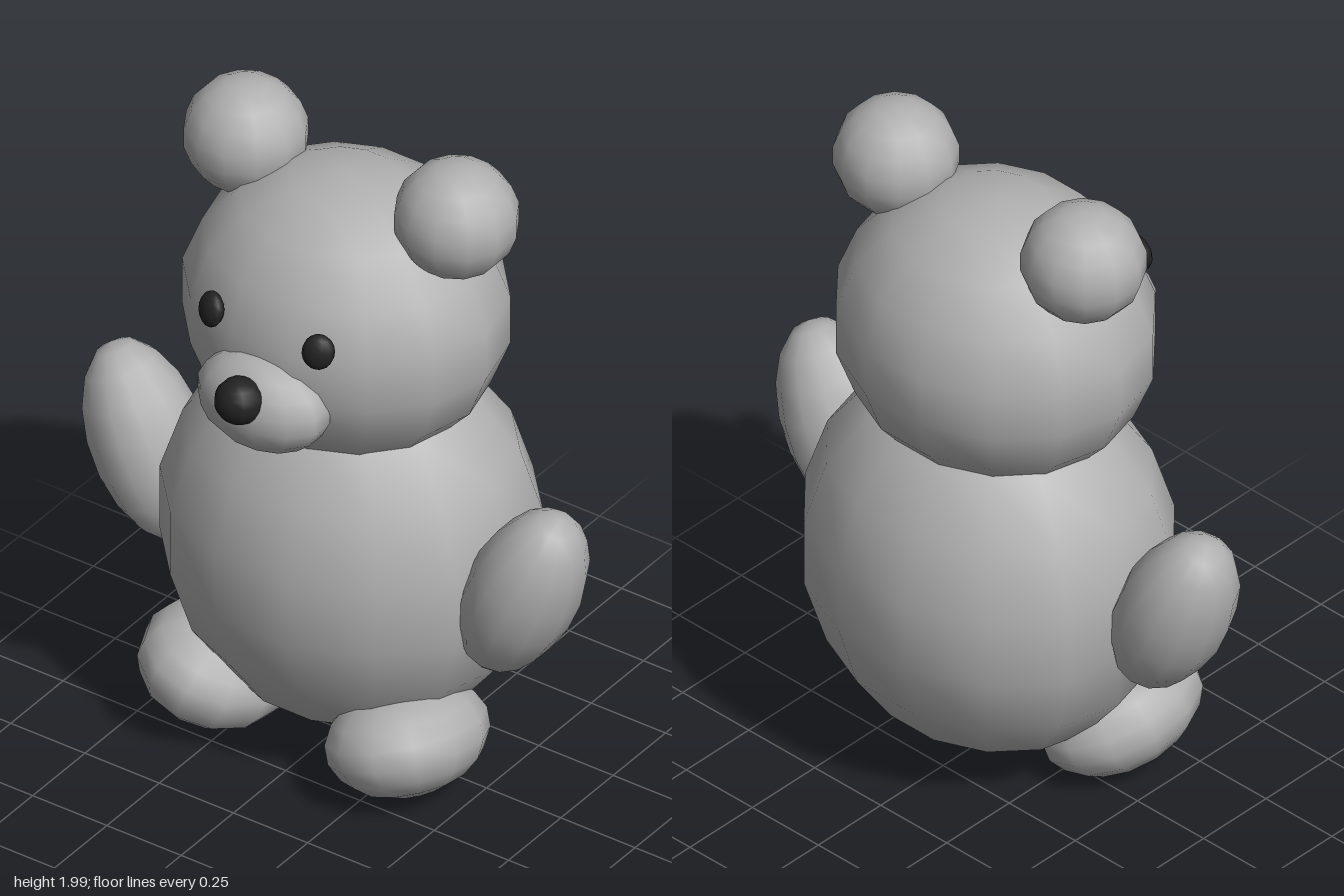
import * as THREE from 'three';

export function createModel() {
  const bear = new THREE.Group();
  bear.name = 'bear';
  const fur = new THREE.MeshStandardMaterial({ color: 0xb0b0b0 });
  fur.name = 'grey fur';
  const black = new THREE.MeshStandardMaterial({ color: 0x222222 });
  black.name = 'black';

  // Coarse balls: a finer one for head and body, a coarser one for the small parts
  const bigBall = new THREE.SphereGeometry(1, 14, 9);
  const smallBall = new THREE.SphereGeometry(1, 12, 9).rotateY(Math.PI / 12);

  // The body ball is flattened on both sides, where the arms join
  const bodyBall = bigBall.clone();
  const points = bodyBall.attributes.position;
  for (let i = 0; i < points.count; i++) {
    points.setX(i, THREE.MathUtils.clamp(points.getX(i), -0.9, 0.9));
  }

  function blob(name, geometry, material, position, radii, rotation = [0, 0, 0]) {
    const mesh = new THREE.Mesh(geometry, material);
    mesh.name = name;
    mesh.position.set(...position);
    mesh.scale.set(...radii);
    mesh.rotation.set(...rotation);
    bear.add(mesh);
  }

  // Torso and head
  blob('body', bodyBall, fur, [0, 0.667, -0.065], [0.562, 0.605, 0.491]);
  blob('head', bigBall, fur, [0, 1.42, -0.04], [0.478, 0.435, 0.428]);

  // Face
  blob('muzzle', smallBall, fur, [0, 1.315, 0.355], [0.208, 0.147, 0.137]);
  blob('nose', smallBall, black, [0, 1.375, 0.472], [0.071, 0.068, 0.071]);

  // Paired parts, mirrored across x
  for (const [side, s] of [['left', 1], ['right', -1]]) {
    blob(side + 'Eye', smallBall, black, [s * 0.18, 1.54, 0.35], [0.047, 0.052, 0.03], [-0.25, s * 0.42, 0]);
    blob(side + 'Ear', smallBall, fur, [s * 0.355, 1.828, -0.063], [0.178, 0.172, 0.176]);
    blob(side + 'Arm', smallBall, fur, [s * 0.632, 0.73, 0.01], [0.16, 0.306, 0.17], [0, 0, -s * 0.41]);
    blob(side + 'Foot', smallBall, fur, [s * 0.318, 0.177, 0.12], [0.218, 0.163, 0.258], [-0.17, 0, s * 0.33]);
  }
  return bear;
}
